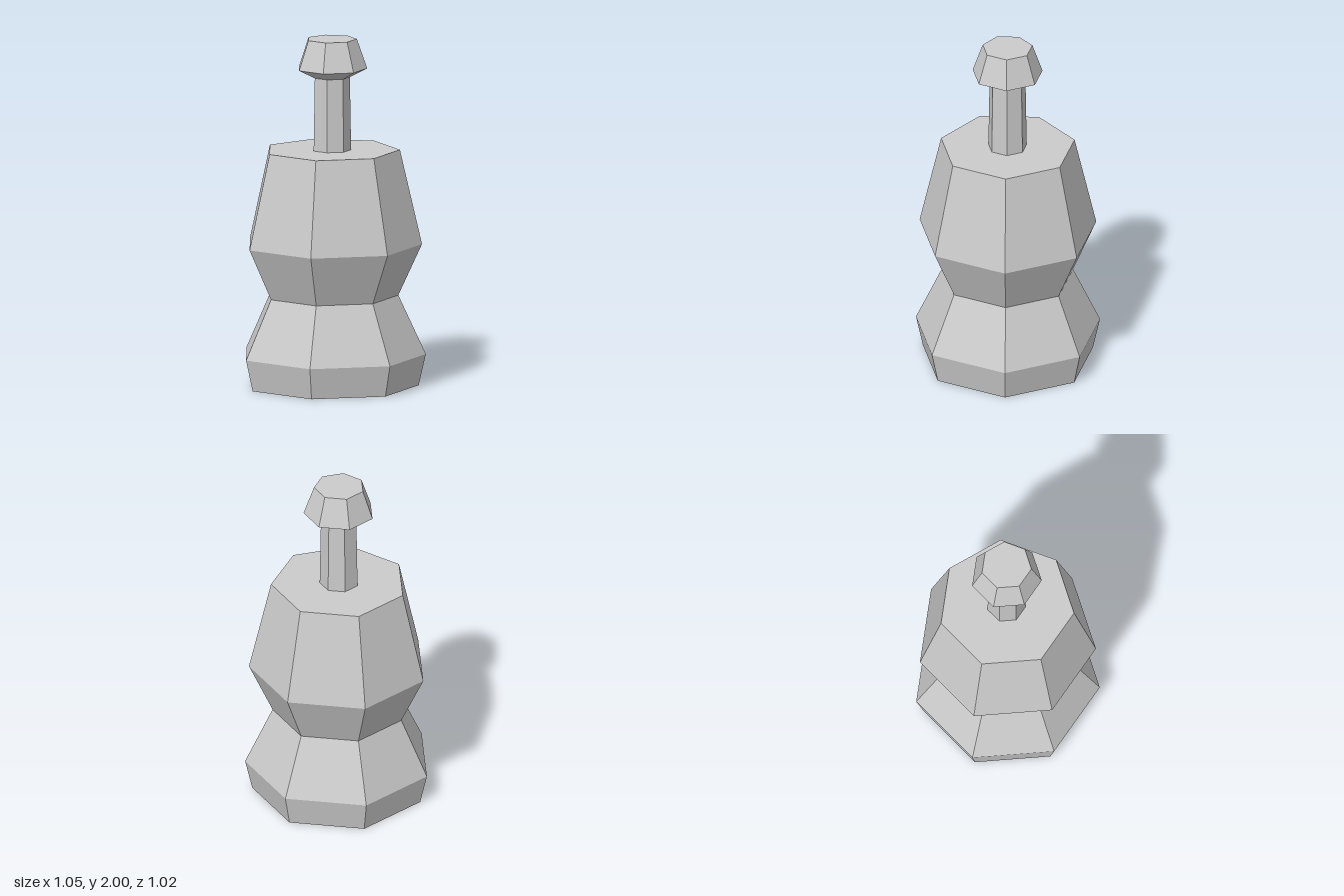
import * as THREE from 'three';

const SIDES = 7;

export function createModel() {
  const model = new THREE.Group();
  const material = new THREE.MeshStandardMaterial({ color: 0xcccccc, flatShading: true });

  // Faceted turned part from [radius, height] pairs, bottom to top, one corner facing the back
  function turned(name, profile) {
    const points = profile.map(([r, y]) => new THREE.Vector2(r, y));
    const mesh = new THREE.Mesh(new THREE.LatheGeometry(points, SIDES, Math.PI), material);
    mesh.name = name;
    mesh.position.z = 0.025; // centres the seven-sided outline
    model.add(mesh);
  }

  // Waisted body with closed bottom and flat shoulder
  turned('body', [
    [0, 0], [0.497, 0], [0.538, 0.18], [0.381, 0.52], [0.516, 0.815], [0.39, 1.36], [0, 1.36],
  ]);

  // Slim neck rising from the shoulder
  turned('neck', [[0.112, 1.36], [0.105, 1.78]]);

  // Stopper with flared underside and flat top
  turned('stopper', [[0, 1.78], [0.105, 1.78], [0.204, 1.83], [0.145, 2], [0, 2]]);

  return model;
}
